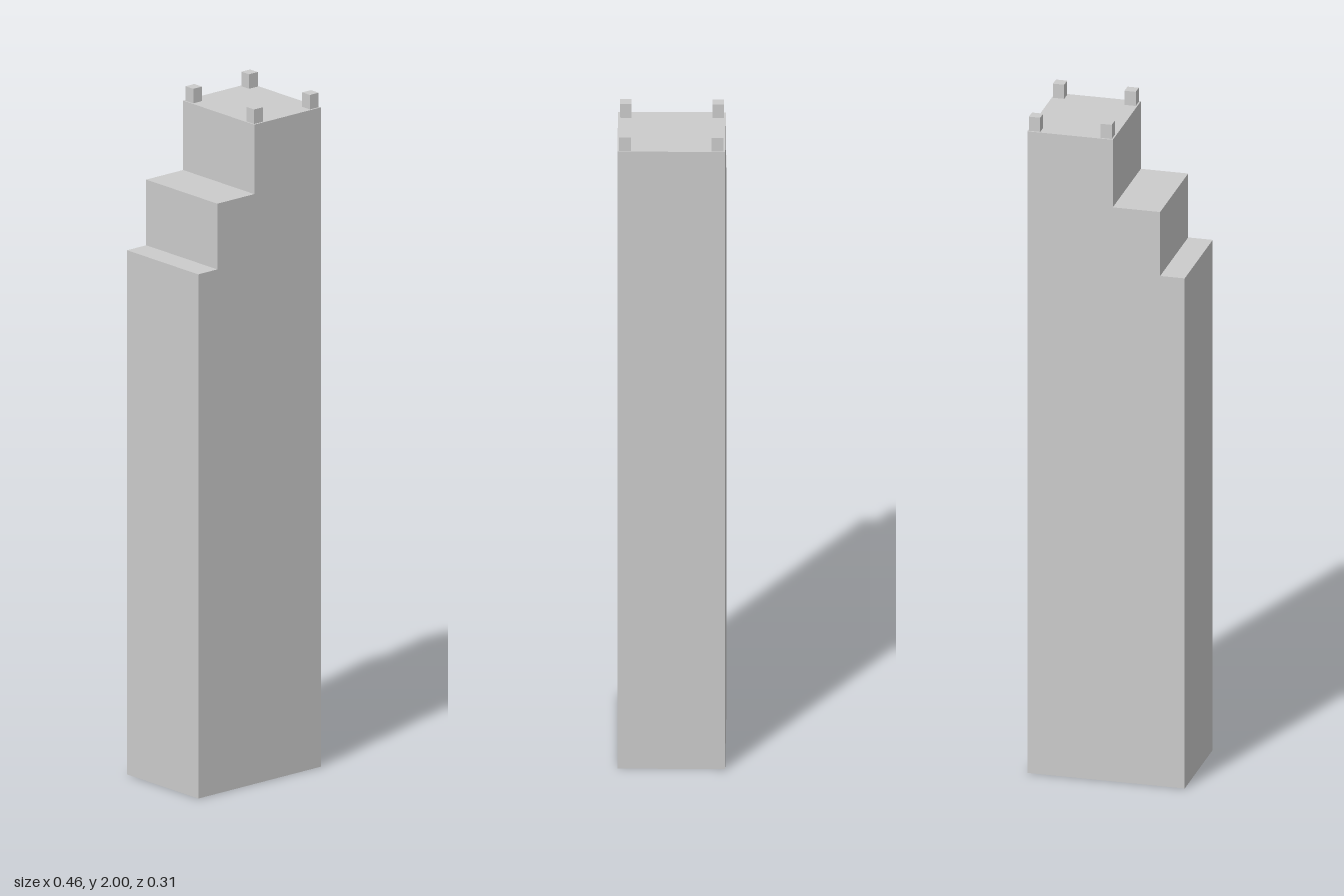
import * as THREE from 'three';

export function createModel() {
  const group = new THREE.Group();
  const material = new THREE.MeshStandardMaterial({ color: 0xcccccc, flatShading: true });
  const depth = 0.306, roofY = 1.957;

  // Tower body: stepped outline extruded front to back
  const outline = [
    [-0.231, 0], [0.231, 0], [0.231, roofY], [-0.02, roofY],
    [-0.02, 1.751], [-0.159, 1.751], [-0.159, 1.556], [-0.231, 1.556],
  ].map(([x, y]) => new THREE.Vector2(x, y));
  const bodyGeometry = new THREE.ExtrudeGeometry(new THREE.Shape(outline), { depth, bevelEnabled: false });
  bodyGeometry.translate(0, 0, -depth / 2);
  const body = new THREE.Mesh(bodyGeometry, material);
  body.name = 'steppedTower';
  group.add(body);

  // Small posts at the four corners of the top roof
  const posts = new THREE.Group();
  posts.name = 'roofPosts';
  const postHeight = 2 - roofY;
  const postGeometry = new THREE.BoxGeometry(0.033, postHeight, 0.033);
  for (const x of [0.001, 0.211]) {
    for (const z of [-0.131, 0.131]) {
      const post = new THREE.Mesh(postGeometry, material);
      post.name = 'roofPost';
      post.position.set(x, roofY + postHeight / 2, z);
      posts.add(post);
    }
  }
  group.add(posts);

  return group;
}
